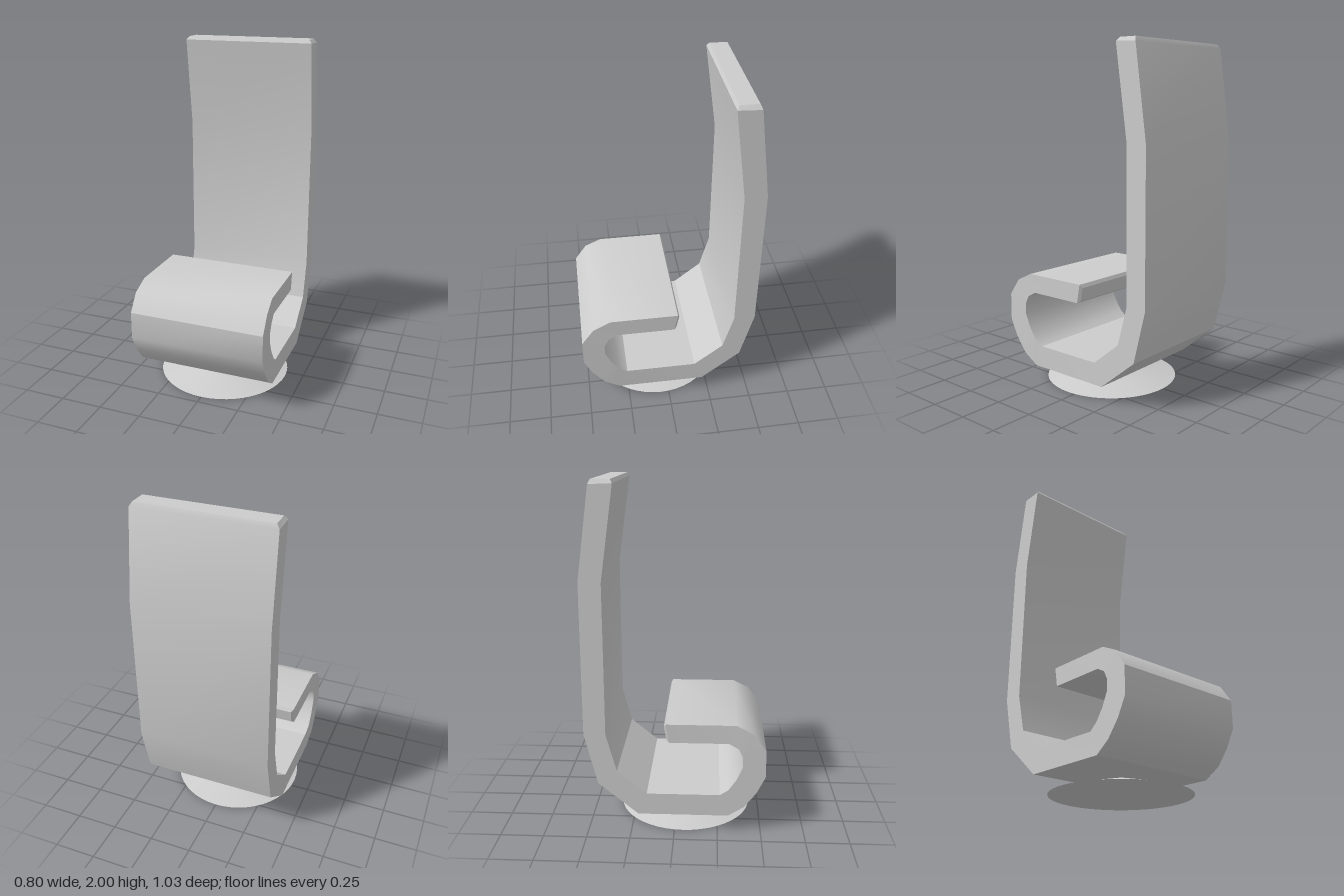
import * as THREE from 'three';
import { toCreasedNormals } from 'three/addons/utils/BufferGeometryUtils.js';

// Cross-sections along the curl: outer z, outer y, inner z, inner y, half width
const STATIONS = [
  [-0.06, 0.64, -0.045, 0.56, 0.38],   // bevelled seat end
  [-0.05, 0.66, -0.03, 0.55, 0.395],
  [0.35, 0.66, 0.31, 0.55, 0.395],
  [0.45, 0.61, 0.365, 0.52, 0.4],      // front roll
  [0.52, 0.51, 0.39, 0.47, 0.4],
  [0.52, 0.35, 0.39, 0.41, 0.4],
  [0.47, 0.25, 0.355, 0.33, 0.4],
  [0.4, 0.16, 0.31, 0.265, 0.4],
  [0.31, 0.1, 0.26, 0.23, 0.395],      // underside
  [-0.21, 0.1, -0.16, 0.23, 0.395],
  [-0.44, 0.29, -0.33, 0.37, 0.395],
  [-0.515, 0.59, -0.39, 0.59, 0.395],  // backrest
  [-0.515, 1.46, -0.39, 1.46, 0.395],
  [-0.445, 1.975, -0.317, 1.98, 0.395],
  [-0.433, 2, -0.33, 2, 0.378],        // bevelled top edge
];

// Skins the four-cornered cross-sections into one closed band
function bandGeometry(stations) {
  const positions = [];
  const index = [];
  for (const [oz, oy, iz, iy, w] of stations) {
    positions.push(w, oy, oz, -w, oy, oz, -w, iy, iz, w, iy, iz);
  }
  const last = (stations.length - 1) * 4;
  for (let s = 0; s < last; s += 4) {
    for (let k = 0; k < 4; k++) {
      const a = s + k, b = s + (k + 1) % 4;
      index.push(a, b, b + 4, a, b + 4, a + 4);
    }
  }
  index.push(0, 2, 1, 0, 3, 2);
  index.push(last, last + 1, last + 2, last, last + 2, last + 3);
  const geometry = new THREE.BufferGeometry();
  geometry.setAttribute('position', new THREE.Float32BufferAttribute(positions, 3));
  geometry.setIndex(index);
  return toCreasedNormals(geometry, 0.55);
}

export function createModel() {
  const model = new THREE.Group();
  model.name = 'curledChair';
  const grey = new THREE.MeshStandardMaterial({ color: 0xcccccc });
  grey.name = 'light grey';

  // Seat and backrest, one curled band
  const shell = new THREE.Mesh(bandGeometry(STATIONS), grey);
  shell.name = 'seatAndBackrest';
  model.add(shell);

  // Low conical foot
  const foot = new THREE.Mesh(new THREE.ConeGeometry(0.395, 0.1, 48), grey);
  foot.name = 'foot';
  foot.position.set(0, 0.05, 0.05);
  model.add(foot);

  return model;
}
